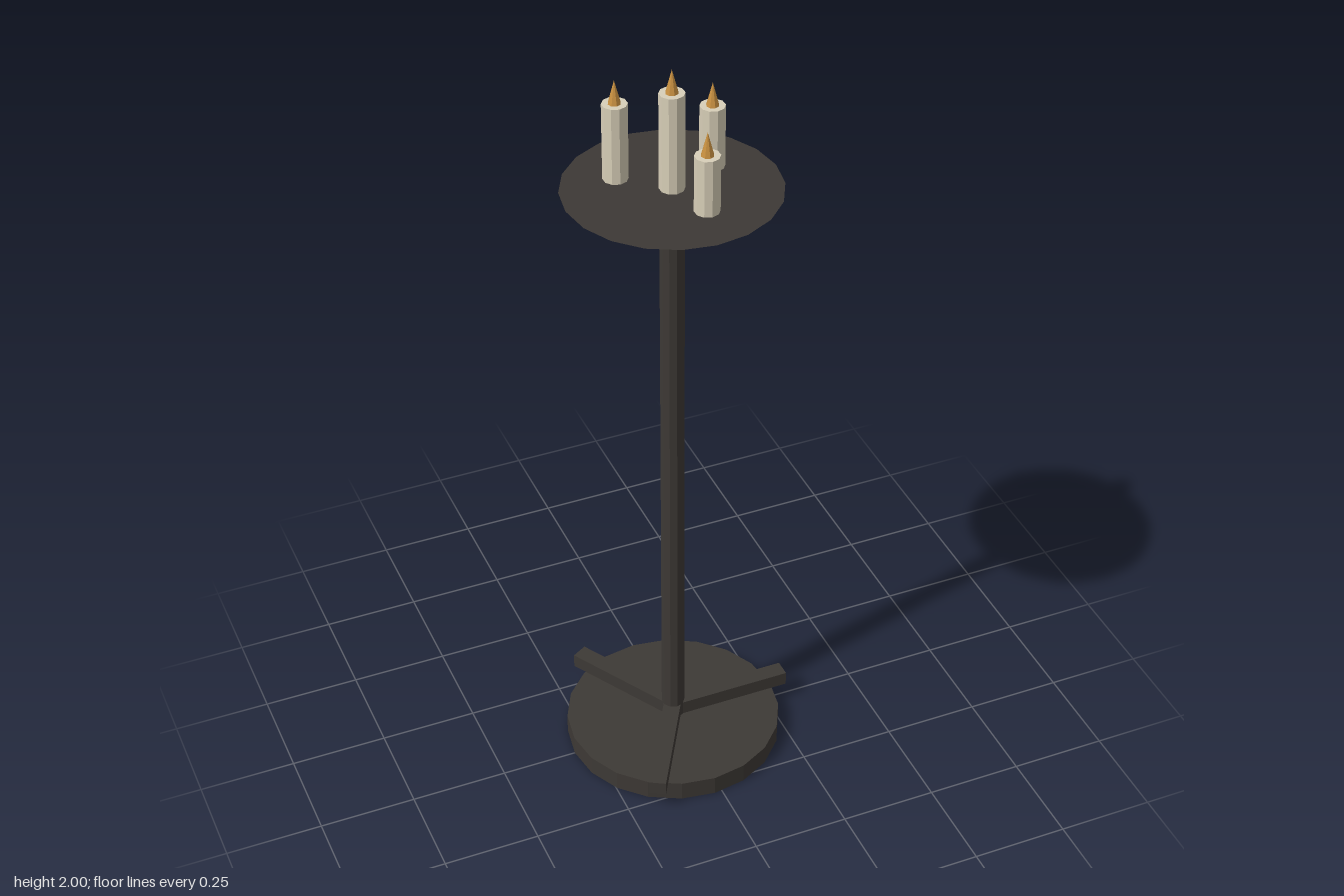
import * as THREE from 'three';

const material = (color) => new THREE.MeshStandardMaterial({ color, flatShading: true });

export function createModel() {
  const model = new THREE.Group();
  const iron = material(0x3d3935);
  const wax = material(0xd8cfb8);
  const fire = material(0xc8903f);
  const axisX = -0.02; // the stand sits slightly off centre, one foot reaching out to +x

  // Upright turned part between two heights
  function turned(name, mat, rBottom, rTop, y0, y1, sides, x = axisX, z = 0) {
    const mesh = new THREE.Mesh(new THREE.CylinderGeometry(rTop, rBottom, y1 - y0, sides), mat);
    mesh.position.set(x, (y0 + y1) / 2, z);
    mesh.name = name;
    model.add(mesh);
  }

  // Stand
  turned('base', iron, 0.282, 0.282, 0, 0.053, 20);
  turned('pole', iron, 0.03, 0.03, 0.053, 1.57, 10);
  turned('dish', iron, 0.075, 0.264, 1.568, 1.688, 20);

  // Three feet radiating from the pole
  const footLength = 0.32;
  const footGeometry = new THREE.BoxGeometry(footLength, 0.038, 0.045).translate(footLength / 2, 0, 0);
  for (let i = 0; i < 3; i++) {
    const foot = new THREE.Mesh(footGeometry, iron);
    foot.position.set(axisX, 0.072, 0);
    foot.rotation.y = (i * Math.PI * 2) / 3;
    foot.name = 'foot';
    model.add(foot);
  }

  // Candles: x, z, top of the wax
  const candles = [
    [axisX, 0, 1.94],
    [-0.125, -0.09, 1.888],
    [0.105, -0.055, 1.85],
    [0.016, 0.122, 1.835],
  ];
  for (const [x, z, top] of candles) {
    turned('candle', wax, 0.031, 0.031, 1.688, top, 10, x, z);
    turned('flame', fire, 0.016, 0, top, top + 0.06, 8, x, z);
  }

  return model;
}
